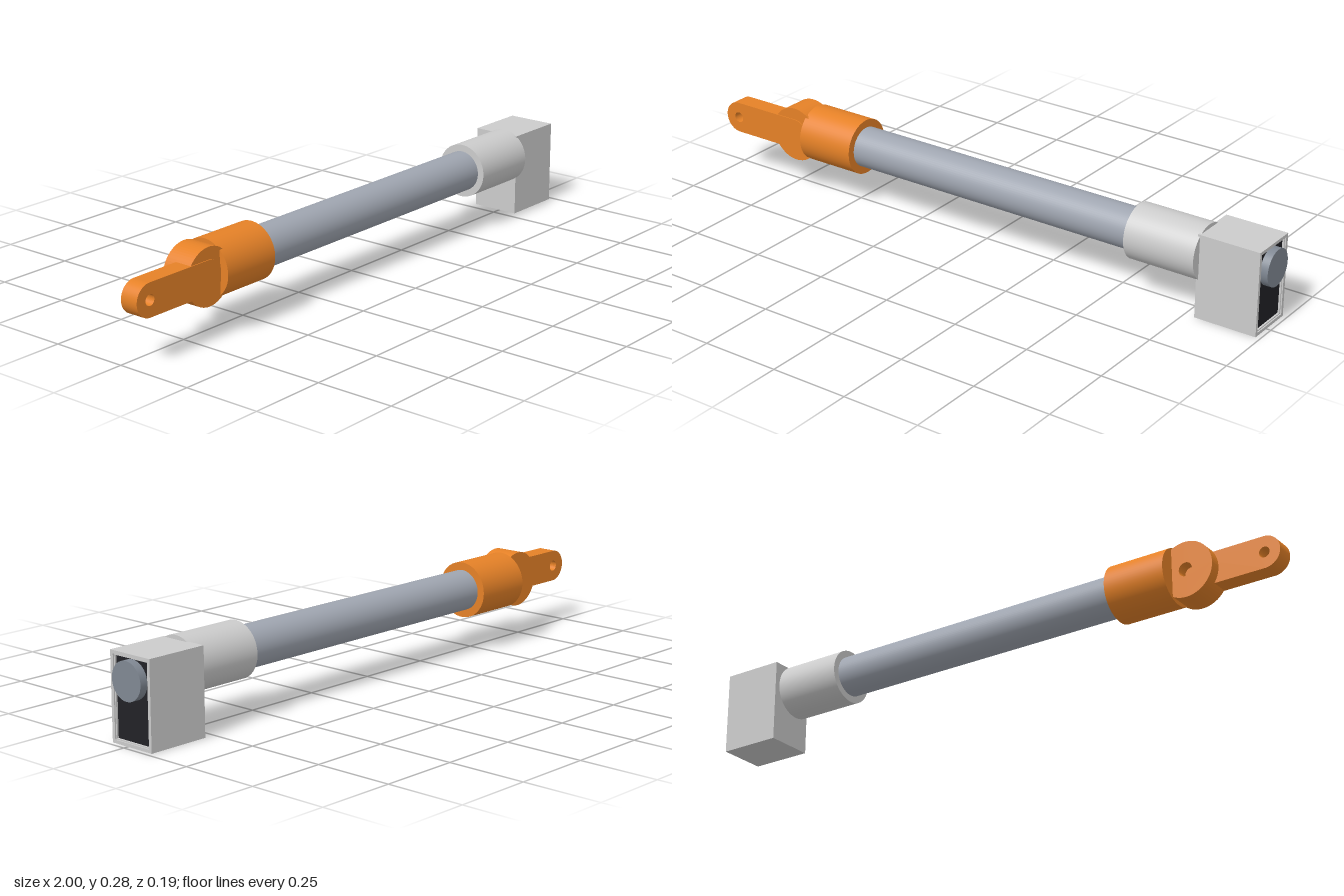
import * as THREE from 'three';

const Y = 0.193, Z = 0.008; // main axis of the arm

const mat = (color) => new THREE.MeshStandardMaterial({ color });

export function createModel() {
  const group = new THREE.Group();
  const orange = mat(0xe58127), steel = mat(0x9fa5b0), white = mat(0xe0e0e0);
  const grey = mat(0xcccccc), dark = mat(0x222226), lens = mat(0x808893);

  const add = (name, geometry, material) => {
    const mesh = new THREE.Mesh(geometry, material);
    mesh.name = name;
    group.add(mesh);
    return mesh;
  };
  // Solid round bar along x
  const bar = (name, x0, x1, r, material, z = Z) => {
    const g = new THREE.CylinderGeometry(r, r, x1 - x0, 64).rotateZ(-Math.PI / 2);
    add(name, g, material).position.set((x0 + x1) / 2, Y, z);
  };
  // Plate in the xy plane between two depths
  const plate = (name, shape, z0, z1, material) => {
    const g = new THREE.ExtrudeGeometry(shape, { depth: z1 - z0, bevelEnabled: false, curveSegments: 32 });
    add(name, g, material).position.z = z0;
  };
  const hole = (x, y, r) => new THREE.Path().absarc(x, y, r, 0, Math.PI * 2, true);
  const disc = (x, y, r) => new THREE.Shape().absarc(x, y, r, 0, Math.PI * 2, false);

  // Tube and its two collars
  bar('tube', -0.6, 0.7, 0.065, steel);
  bar('jointCollar', -0.665, -0.465, 0.09, orange);
  bar('headCollar', 0.555, 0.79, 0.087, white);

  // Round knuckle with a blind bolt hole in its back
  const knuckle = disc(-0.71, Y, 0.089);
  knuckle.holes.push(hole(-0.71, Y, 0.022));
  plate('knuckleBack', knuckle, -0.027, 0.01, orange);
  plate('knuckleFront', disc(-0.71, Y, 0.089), 0.01, 0.067, orange);

  // Link with rounded ends and an eye
  const link = new THREE.Shape();
  link.absarc(-0.949, Y, 0.051, Math.PI / 2, Math.PI * 1.5, false);
  link.absarc(-0.71, Y, 0.051, -Math.PI / 2, Math.PI / 2, false);
  link.closePath();
  link.holes.push(hole(-0.949, Y, 0.017));
  plate('link', link, 0.01, 0.07, orange);

  // Head housing: a box with a shallow stepped recess facing +x
  const zMid = -0.0175, yMid = 0.1335;
  const rect = (Type, w, h) => {
    const s = new Type();
    s.moveTo(-w / 2, -h / 2).lineTo(w / 2, -h / 2).lineTo(w / 2, h / 2).lineTo(-w / 2, h / 2);
    s.closePath();
    return s;
  };
  const frame = (name, w, h, wi, hi, x0, x1) => {
    const s = rect(THREE.Shape, w, h);
    s.holes.push(rect(THREE.Path, wi, hi));
    const g = new THREE.ExtrudeGeometry(s, { depth: x1 - x0, bevelEnabled: false }).rotateY(Math.PI / 2);
    add(name, g, grey).position.set(x0, yMid, zMid);
  };
  add('housing', new THREE.BoxGeometry(0.185, 0.267, 0.159), grey).position.set(0.8755, yMid, zMid);
  frame('housingRim', 0.159, 0.267, 0.138, 0.247, 0.968, 0.985);
  frame('innerRim', 0.138, 0.247, 0.131, 0.24, 0.968, 0.981);
  add('panel', new THREE.BoxGeometry(0.01, 0.24, 0.131), dark).position.set(0.97, yMid, zMid);

  // Round lens standing proud of the panel
  bar('lens', 0.97, 1.0, 0.058, lens, zMid);

  return group;
}
